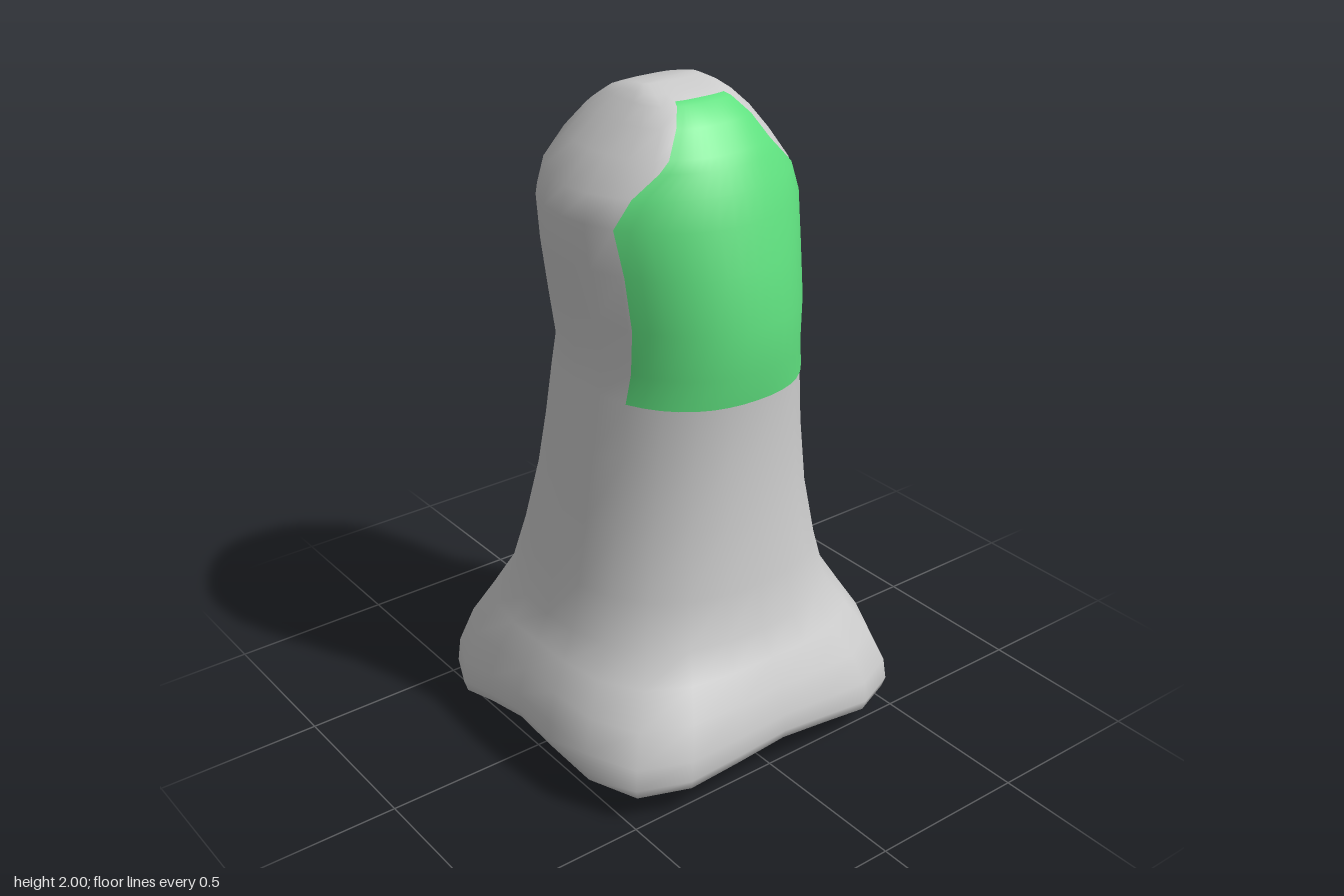
import * as THREE from 'three';

const SEGMENTS = 24;

// Cross-sections, top to bottom: [y, half width, front depth, back depth, squareness, corner sag]
const SECTIONS = [
  [2.0, 0, 0, 0, 4, 0],
  [2.0, 0.1, 0.03, 0.03, 4, 0],
  [1.985, 0.13, 0.1, 0.1, 3.5, 0],
  [1.965, 0.155, 0.165, 0.155, 3, 0],
  [1.92, 0.205, 0.225, 0.225, 2.5, 0],
  [1.85, 0.27, 0.275, 0.3, 2.2, 0],
  [1.76, 0.345, 0.325, 0.365, 2, 0],
  [1.68, 0.365, 0.352, 0.387, 2, 0],
  [1.55, 0.356, 0.387, 0.38, 2, 0],
  [1.4, 0.338, 0.414, 0.345, 2.1, 0],
  [1.27, 0.326, 0.412, 0.3, 2.2, 0],
  [1.18, 0.335, 0.4, 0.312, 2.3, 0],
  [1.0, 0.36, 0.4, 0.345, 2.2, 0],
  [0.8, 0.386, 0.408, 0.385, 2.2, 0],
  [0.6, 0.423, 0.43, 0.43, 2.3, 0],
  [0.46, 0.452, 0.452, 0.46, 2.5, 0],
  [0.38, 0.492, 0.492, 0.497, 3, 0.2],
  [0.3, 0.535, 0.535, 0.538, 3.7, 0.45],
  [0.22, 0.563, 0.563, 0.563, 4.3, 0.75],
  [0.165, 0.567, 0.567, 0.567, 4.5, 0.95],
  [0.135, 0.557, 0.557, 0.557, 4.5, 1],
  [0.125, 0.538, 0.538, 0.538, 4.5, 1],
];

// Point on a section; each hem corner hangs by its own amount
function sectionPoint([y, w, front, back, n, sag], step) {
  const angle = step + 0.03 * sag * Math.sin(4 * step);
  const s = Math.sin(angle), c = Math.cos(angle);
  const r = (Math.abs(s) ** n + Math.abs(c) ** n) ** (-1 / n);
  const drop = c > 0 ? (s > 0 ? 0.065 : 0.045) : (s > 0 ? 0.055 : 0.12);
  return [w * s * r, y - sag * drop * Math.sin(2 * angle) ** 2, (c > 0 ? front : back) * c * r];
}

// Surface through rows of points, rows running down and columns to the left side
function loft(rows, closed) {
  const cols = rows[0].length, index = [];
  for (let i = 0; i < rows.length - 1; i++) {
    for (let j = 0; j < (closed ? cols : cols - 1); j++) {
      const k = (j + 1) % cols;
      const a = i * cols + j, b = a + cols, c = i * cols + k, d = c + cols;
      index.push(a, b, c, c, b, d);
    }
  }
  const geometry = new THREE.BufferGeometry();
  geometry.setAttribute('position', new THREE.Float32BufferAttribute(rows.flat(2), 3));
  geometry.setIndex(index);
  geometry.computeVertexNormals();
  return geometry;
}

// Section at any height, blended between its neighbours
function sectionAt(y) {
  const i = Math.max(2, SECTIONS.findIndex((s) => s[0] <= y));
  const a = SECTIONS[i - 1], b = SECTIONS[i];
  const t = (a[0] - y) / (a[0] - b[0]);
  return a.map((v, k) => v + (b[k] - v) * t);
}

// Outer skin, thin hem and hollow inside as one surface
function bodyGeometry() {
  const thickness = 0.025;
  const inner = SECTIONS.slice(3, -2).reverse().map(([y, w, f, b, n, sag]) =>
    [y - 0.01, w - thickness, f - thickness, b - thickness, n, sag]);
  const top = [1.975, 0, 0, 0, 2, 0];
  const rows = [...SECTIONS, ...inner, top].map((section) =>
    Array.from({ length: SEGMENTS }, (_, j) => sectionPoint(section, (j / SEGMENTS) * Math.PI * 2)));
  return loft(rows, true);
}

// Face panel lying just over the front: [y, half width]
function faceGeometry() {
  const outline = [
    [1.973, 0.08], [1.965, 0.09], [1.92, 0.125], [1.85, 0.17], [1.82, 0.2], [1.76, 0.273],
    [1.68, 0.316], [1.55, 0.302], [1.4, 0.291], [1.27, 0.289], [1.18, 0.302],
  ];
  const columns = 16, lift = 0.004;
  const rows = outline.map(([y, half]) => {
    const [, w, front, , n] = sectionAt(y);
    const limit = Math.asin(half / w);
    return Array.from({ length: columns + 1 }, (_, j) => {
      const u = Math.sin(limit * ((2 * j) / columns - 1));
      const z = (1 - Math.abs(u) ** n) ** (1 / n);
      return [(w + lift) * u, y + (y > 1.8 ? 0.003 : 0), (front + lift) * z];
    });
  });
  return loft(rows, false);
}

export function createModel() {
  const model = new THREE.Group();
  model.name = 'hoodedFigure';

  const body = new THREE.Mesh(bodyGeometry(), new THREE.MeshStandardMaterial({ color: 0xcccccc }));
  body.name = 'cloak';

  const face = new THREE.Mesh(faceGeometry(),
    new THREE.MeshStandardMaterial({ color: 0x5fe07f, side: THREE.DoubleSide }));
  face.name = 'facePanel';

  model.add(body, face);
  return model;
}
